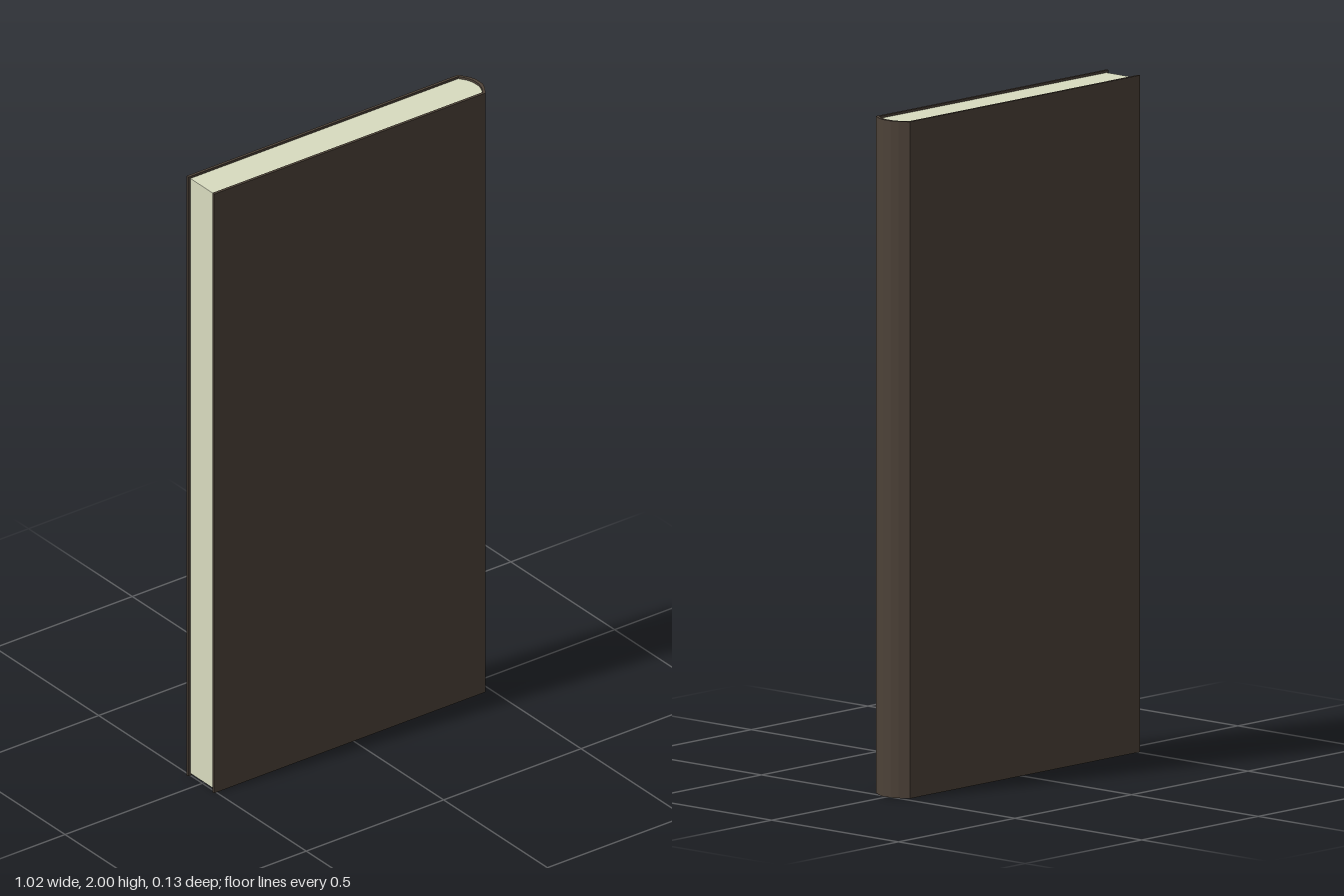
import * as THREE from 'three';

// Upright slab with the given symmetric plan outline, from y = y0 to y1
function slab(name, points, y0, y1, color) {
  const shape = new THREE.Shape(points.map(([x, z]) => new THREE.Vector2(x, z)));
  const geometry = new THREE.ExtrudeGeometry(shape, { depth: y1 - y0, bevelEnabled: false });
  geometry.rotateX(-Math.PI / 2).translate(0, y0, 0);
  const mesh = new THREE.Mesh(geometry, new THREE.MeshStandardMaterial({ color }));
  mesh.name = name;
  return mesh;
}

// Mirror one half of an outline across z = 0
const mirrored = half => [...half.map(([x, z]) => [x, -z]), ...half.slice().reverse()];

export function createModel() {
  const book = new THREE.Group();
  book.name = 'book';

  // Half outlines from the open fore edge to the faceted spine
  const outer = [[-0.508, 0.067], [0.48, 0.067], [0.498, 0.039], [0.507, 0.016]];
  const inner = [[-0.508, 0.058], [0.475, 0.058], [0.489, 0.036], [0.496, 0.014]];
  const pages = [[-0.5, 0.058], ...inner.slice(1)];

  // Cover: two boards joined by the spine, open at the fore edge
  const wrap = [...mirrored(outer), ...mirrored(inner).reverse()];
  book.add(slab('cover', wrap, 0, 2, 0x4d4238));

  // Page block, set in slightly from the cover edges
  book.add(slab('pages', mirrored(pages), 0.007, 1.993, 0xd9dcc0));

  return book;
}
